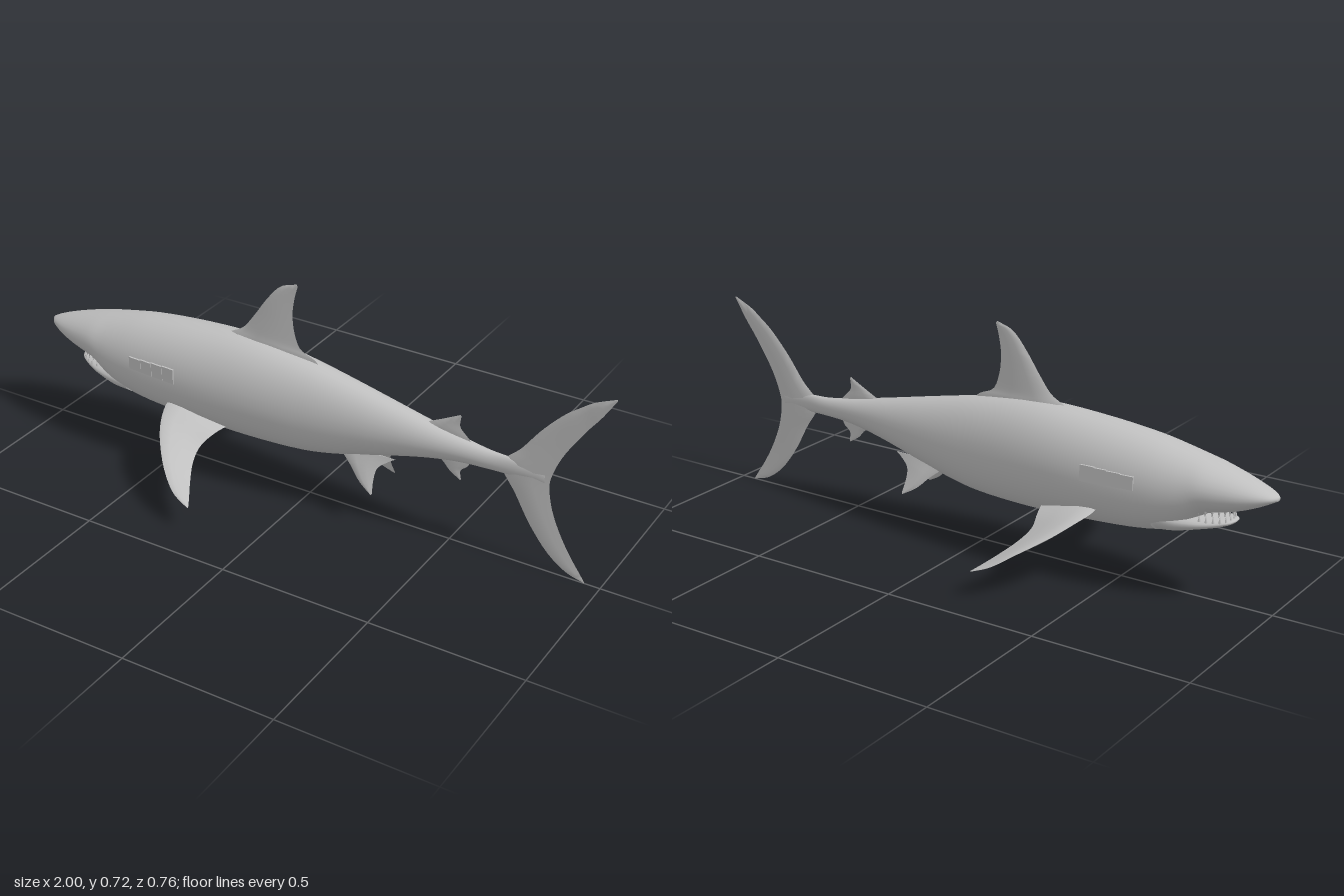
import * as THREE from 'three';
import { toCreasedNormals } from 'three/addons/utils/BufferGeometryUtils.js';

const V = (x, y, z = 0) => new THREE.Vector3(x, y, z);

// Skin over closed rings of points, capped at both ends and always facing outwards
function loft(rings, crease) {
  const n = rings[0].length, pts = rings.flat(), index = [];
  const centre = (ring) => ring.reduce((s, p) => s.add(p), V(0, 0)).divideScalar(n);
  for (let i = 0; i < rings.length - 1; i++) {
    for (let j = 0; j < n; j++) {
      const a = i * n + j, b = i * n + (j + 1) % n;
      index.push(a, b, a + n, b, b + n, a + n);
    }
  }
  const first = pts.length, last = first + 1, end = (rings.length - 1) * n;
  pts.push(centre(rings[0]), centre(rings[rings.length - 1]));
  for (let j = 0; j < n; j++) {
    const k = (j + 1) % n;
    index.push(first, k, j, last, end + j, end + k);
  }
  let volume = 0;
  for (let i = 0; i < index.length; i += 3) {
    volume += pts[index[i]].dot(V(0, 0).crossVectors(pts[index[i + 1]], pts[index[i + 2]]));
  }
  if (volume < 0) index.reverse();
  const geo = new THREE.BufferGeometry().setFromPoints(pts);
  geo.setIndex(index);
  geo.computeVertexNormals();
  return crease ? toCreasedNormals(geo, crease) : geo;
}

// Smooth interpolation of rows of numbers, keyed by the first column
function resample(rows, steps) {
  const a = new THREE.CatmullRomCurve3(rows.map((r) => V(r[0], r[1], r[2])), false, 'centripetal');
  const b = new THREE.CatmullRomCurve3(rows.map((r) => V(r[0], r[3], 0)), false, 'centripetal');
  return Array.from({ length: steps + 1 }, (_, i) => {
    const p = a.getPoint(i / steps), q = b.getPoint(i / steps);
    return [p.x, p.y, p.z, q.y];
  });
}

// Elliptical hull from stations of [x, top, bottom, half width]
function hull(stations, steps, sides = 28) {
  return loft(resample(stations, steps).map(([x, top, bottom, w]) =>
    Array.from({ length: sides }, (_, j) => {
      const t = j / sides * Math.PI * 2;
      return V(x, (top + bottom) / 2 + Math.sin(t) * (top - bottom) / 2, Math.cos(t) * Math.max(w, 0.001));
    })));
}

// Fin from ribs of [leading point, trailing point, half thickness], thickened along one direction
function fin(ribs, thickDir, steps = 20) {
  const lead = new THREE.CatmullRomCurve3(ribs.map((r) => r[0]), false, 'centripetal');
  const trail = new THREE.CatmullRomCurve3(ribs.map((r) => r[1]), false, 'centripetal');
  const thick = new THREE.CatmullRomCurve3(ribs.map((r, i) => V(i, r[2])));
  const foil = [[0, 0], [0.08, 0.6], [0.3, 1], [0.65, 0.65], [1, 0], [0.65, -0.65], [0.3, -1], [0.08, -0.6]];
  const rings = [];
  for (let i = 0; i <= steps; i++) {
    const u = i / steps, a = lead.getPoint(u), b = trail.getPoint(u), h = thick.getPoint(u).y;
    rings.push(foil.map(([t, s]) => a.clone().lerp(b, t).addScaledVector(thickDir, s * h)));
  }
  return loft(rings, 0.8);
}

// Flat upright ribs from rows of [leadX, leadY, trailX, trailY, half thickness]
const upright = (rows) => rows.map(([a, b, c, d, h]) => [V(a, b), V(c, d), h]);

export function createModel() {
  const model = new THREE.Group();
  const skin = new THREE.MeshStandardMaterial({ color: 0xc0c0c0 });
  skin.name = 'light grey skin';
  const add = (name, geo, parent = model) => {
    const mesh = new THREE.Mesh(geo, skin);
    mesh.name = name;
    parent.add(mesh);
    return mesh;
  };

  // Body from snout to tail stalk
  add('body', hull([
    [-1, 0.366, 0.354, 0.008], [-0.985, 0.373, 0.346, 0.028], [-0.95, 0.387, 0.328, 0.05],
    [-0.9, 0.404, 0.307, 0.07], [-0.85, 0.419, 0.292, 0.085], [-0.79, 0.435, 0.275, 0.1],
    [-0.74, 0.447, 0.235, 0.109], [-0.69, 0.458, 0.207, 0.117], [-0.6, 0.475, 0.184, 0.126],
    [-0.4, 0.496, 0.167, 0.131], [-0.2, 0.502, 0.16, 0.122], [0, 0.478, 0.168, 0.102],
    [0.1, 0.459, 0.186, 0.091], [0.2, 0.438, 0.213, 0.079], [0.4, 0.395, 0.268, 0.052],
    [0.52, 0.371, 0.289, 0.034], [0.62, 0.356, 0.294, 0.021], [0.7, 0.353, 0.295, 0.012],
    [0.8, 0.335, 0.3, 0.003],
  ], 72));

  // Lower jaw, open below the snout
  add('lowerJaw', hull([
    [-0.875, 0.27, 0.264, 0.012], [-0.865, 0.272, 0.256, 0.03], [-0.83, 0.273, 0.242, 0.052],
    [-0.78, 0.275, 0.228, 0.073], [-0.7, 0.285, 0.206, 0.09], [-0.64, 0.3, 0.196, 0.09],
  ], 20));

  // Two rows of small teeth around the mouth
  const teeth = new THREE.Group();
  teeth.name = 'teeth';
  model.add(teeth);
  for (let i = 0; i < 13; i++) {
    const t = (i / 12 - 0.5) * Math.PI;
    const x = -0.785 - 0.08 * Math.cos(t), z = 0.062 * Math.sin(t);
    const cone = new THREE.ConeGeometry(0.005, 0.022, 4);
    add('lowerTooth', cone, teeth).position.set(x, 0.275, z);
    const upper = add('upperTooth', cone, teeth);
    upper.position.set(x + 0.004, 0.29, z);
    upper.rotation.x = Math.PI;
  }

  // Tail fin, upper tip to lower tip
  add('tailFin', fin(upright([
    [0.998, 0.641, 1, 0.637, 0.001], [0.93, 0.61, 0.957, 0.568, 0.003], [0.895, 0.585, 0.925, 0.525, 0.003],
    [0.85, 0.55, 0.9, 0.488, 0.004], [0.78, 0.475, 0.852, 0.41, 0.005], [0.72, 0.395, 0.825, 0.345, 0.007],
    [0.66, 0.325, 0.816, 0.303, 0.009], [0.71, 0.235, 0.828, 0.225, 0.007], [0.765, 0.14, 0.86, 0.145, 0.005],
    [0.83, 0.06, 0.9, 0.075, 0.004], [0.89, 0.018, 0.93, 0.032, 0.003], [0.948, 0.001, 0.949, 0.004, 0.001],
  ]), V(0, 0, 1), 48));

  // Fins on the midline
  add('dorsalFin', fin(upright([
    [-0.32, 0.485, 0.04, 0.462, 0.014], [-0.285, 0.505, 0.015, 0.485, 0.013], [-0.245, 0.528, -0.035, 0.508, 0.011],
    [-0.2, 0.585, -0.057, 0.56, 0.009], [-0.155, 0.65, -0.063, 0.625, 0.007], [-0.105, 0.705, -0.055, 0.68, 0.004],
    [-0.05, 0.725, -0.044, 0.72, 0.001],
  ]), V(0, 0, 1)));
  add('rearDorsalFin', fin(upright([
    [0.4, 0.385, 0.56, 0.362, 0.005], [0.43, 0.4, 0.545, 0.378, 0.005], [0.47, 0.42, 0.52, 0.405, 0.003],
    [0.518, 0.445, 0.522, 0.44, 0.001],
  ]), V(0, 0, 1), 10));
  add('analFin', fin(upright([
    [0.42, 0.29, 0.56, 0.3, 0.005], [0.465, 0.272, 0.55, 0.277, 0.004], [0.49, 0.245, 0.527, 0.255, 0.003],
    [0.527, 0.222, 0.53, 0.226, 0.001],
  ]), V(0, 0, 1), 10));

  // Paired fins and gills on both flanks
  for (const [side, s] of [['left', 1], ['right', -1]].map(([n, v]) => [n === 'left' ? 'front' : 'back', v])) {
    // Pectoral fin, drooping outwards with the leading edge held higher
    add(side + 'PectoralFin', fin([
      [V(-0.47, 0.25, 0.09 * s), V(-0.26, 0.205, 0.07 * s), 0.012],
      [V(-0.467, 0.238, 0.125 * s), V(-0.28, 0.194, 0.13 * s), 0.012],
      [V(-0.44, 0.215, 0.19 * s), V(-0.295, 0.172, 0.18 * s), 0.01],
      [V(-0.4, 0.185, 0.25 * s), V(-0.285, 0.148, 0.235 * s), 0.008],
      [V(-0.33, 0.142, 0.325 * s), V(-0.253, 0.117, 0.3 * s), 0.005],
      [V(-0.27, 0.104, 0.365 * s), V(-0.222, 0.092, 0.352 * s), 0.003],
      [V(-0.21, 0.081, 0.38 * s), V(-0.208, 0.082, 0.377 * s), 0.001],
    ], V(0, 1, 0)));

    // Pelvic fin
    add(side + 'PelvicFin', fin([
      [V(0.11, 0.235, 0.026 * s), V(0.32, 0.24, 0.026 * s), 0.008],
      [V(0.14, 0.213, 0.036 * s), V(0.3, 0.228, 0.03 * s), 0.007],
      [V(0.175, 0.185, 0.048 * s), V(0.266, 0.2, 0.042 * s), 0.006],
      [V(0.215, 0.147, 0.063 * s), V(0.261, 0.165, 0.056 * s), 0.004],
      [V(0.262, 0.12, 0.075 * s), V(0.266, 0.124, 0.073 * s), 0.001],
    ], V(0, 0.37, 0.93 * s), 14));

    // Overlapping gill plates
    const gills = new THREE.Group();
    gills.name = side + 'Gills';
    model.add(gills);
    for (let i = 0; i < 4; i++) {
      const plate = add('gillPlate', new THREE.BoxGeometry(0.046, 0.042 + i * 0.003, 0.006), gills);
      plate.position.set(-0.578 + i * 0.043, 0.359, (0.1255 + i * 0.0012) * s);
      plate.rotation.y = -0.06 * s;
    }
  }
  return model;
}
